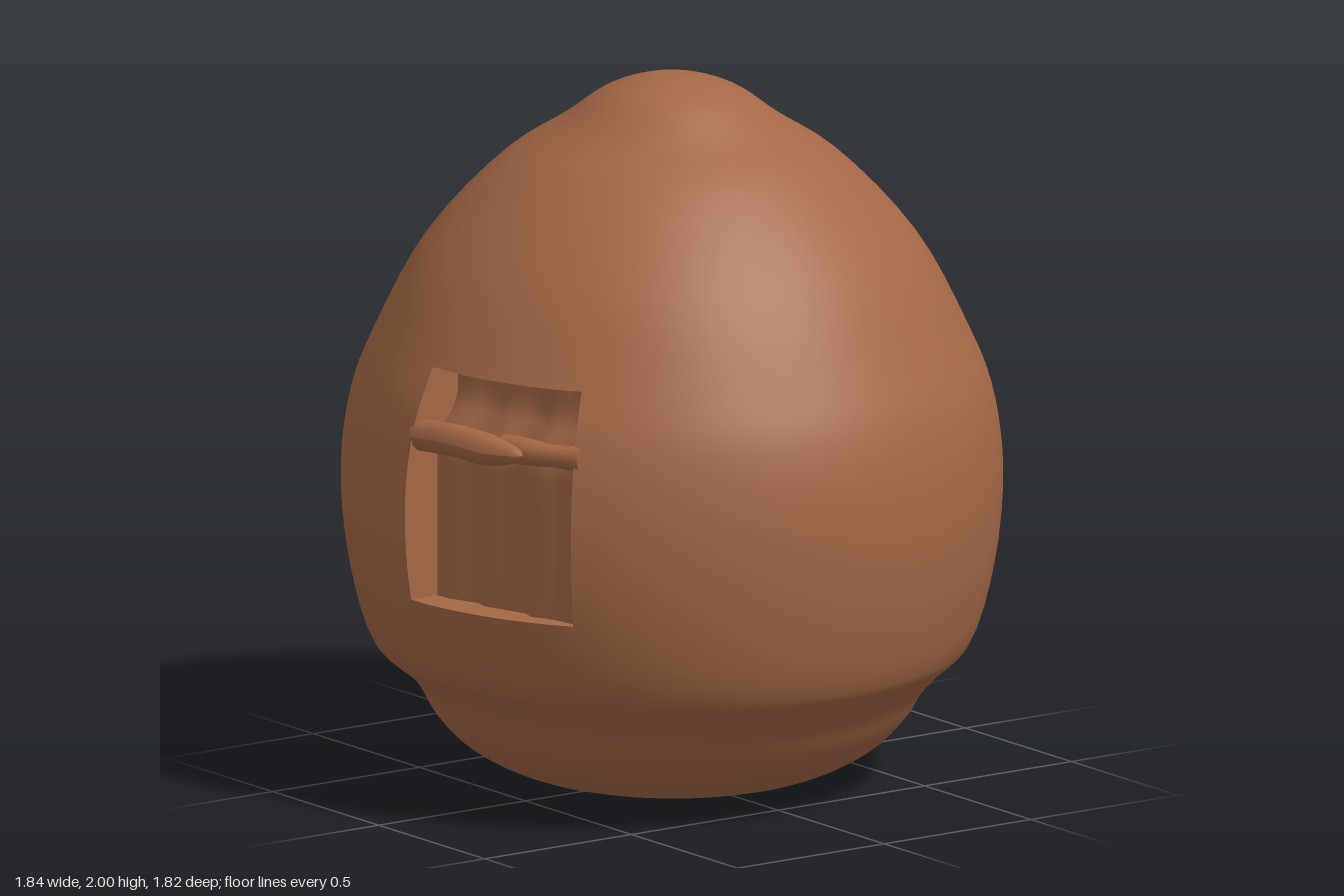
import * as THREE from 'three';

const clay = new THREE.MeshStandardMaterial({ color: 0xa56846 });
clay.name = 'clay';

// Outline as radius, height; each span is split into SUB rows
const SUB = 4, SEG = 120, DOOR_COLS = 12;
const outline = [
  [0, 0.005], [0.22, 0.01], [0.43, 0.045], [0.58, 0.12], [0.66, 0.2], [0.71, 0.28], [0.76, 0.335],
  [0.83, 0.4], [0.9, 0.63], [0.922, 0.9], [0.89, 1.12], [0.825, 1.28], [0.69, 1.53],
  [0.47, 1.765], [0.31, 1.87], [0.19, 1.955], [0.07, 1.995], [0, 2],
];
const curve = new THREE.CatmullRomCurve3(outline.map(([r, y]) => new THREE.Vector3(r, y, 0)));
const ROWS = (outline.length - 1) * SUB;
const profile = curve.getPoints(ROWS);
const DOOR_BOTTOM = 8 * SUB, DOOR_TOP = 11 * SUB;

// Point on the outer wall, with an uneven lip above the foot
function wallPoint(col, row) {
  const a = (col / SEG) * Math.PI * 2;
  const { x: r, y } = profile[row];
  const lip = Math.exp(-(((y - 0.31) / 0.06) ** 2));
  const ripple = Math.sin(a * 7) * 0.5 + Math.sin(a * 13 + 1) * 0.35 + Math.sin(a * 23) * 0.2;
  const sides = -0.012 * Math.cos(2 * a);
  const rr = Math.max(0, r + lip * (0.008 * ripple + sides));
  return new THREE.Vector3(rr * Math.sin(a), y + lip * 0.01 * ripple, rr * Math.cos(a) * 0.988);
}

// Point on the back of the niche: slanted, hollower above the rail, gently fluted
function nichePoint(col, row) {
  const p = wallPoint(col, row);
  const flute = 0.008 * Math.sin(p.x * 38) + 0.005 * Math.sin(p.x * 71);
  const hollow = 0.07 * THREE.MathUtils.smoothstep(p.y, 1.06, 1.2);
  p.z = Math.min(0.8 - 0.19 * p.x - hollow + flute, p.z - 0.02);
  return p;
}

// Surface from a point rule over columns and rows
function grid(cols, rows, point, { wrap = false, skip = () => false } = {}) {
  const pos = [], idx = [], n = wrap ? cols : cols + 1;
  for (let j = 0; j <= rows; j++)
    for (let i = 0; i < n; i++) pos.push(...point(i, j).toArray());
  for (let j = 0; j < rows; j++)
    for (let i = 0; i < cols; i++) {
      if (skip(i, j)) continue;
      const k = (i + 1) % n;
      const a = j * n + i, b = j * n + k, c = (j + 1) * n + k, d = (j + 1) * n + i;
      idx.push(a, b, c, a, c, d);
    }
  const g = new THREE.BufferGeometry();
  g.setAttribute('position', new THREE.Float32BufferAttribute(pos, 3));
  g.setIndex(idx);
  g.computeVertexNormals();
  return g;
}

// Rounded rail along a path whose thickness follows a rule
function rail(points, radius, thickness) {
  const path = new THREE.CatmullRomCurve3(points.map((p) => new THREE.Vector3(...p)));
  const steps = 24, sides = 12;
  const g = new THREE.TubeGeometry(path, steps, radius, sides);
  const pos = g.attributes.position, v = new THREE.Vector3();
  for (let i = 0; i < pos.count; i++) {
    const u = Math.floor(i / (sides + 1)) / steps;
    const c = path.getPointAt(u);
    v.fromBufferAttribute(pos, i).sub(c).multiplyScalar(thickness(u)).add(c);
    pos.setXYZ(i, v.x, v.y, v.z);
  }
  g.computeVertexNormals();
  return g;
}

export function createModel() {
  const model = new THREE.Group();
  model.name = 'domeHut';
  const add = (name, geometry, parent = model) => {
    const mesh = new THREE.Mesh(geometry, clay);
    mesh.name = name;
    parent.add(mesh);
  };

  // Domed wall with an opening
  add('domeWall', grid(SEG, ROWS, wallPoint, {
    wrap: true,
    skip: (i, j) => i < DOOR_COLS && j >= DOOR_BOTTOM && j < DOOR_TOP,
  }));

  // Niche behind the opening
  const niche = new THREE.Group();
  niche.name = 'niche';
  model.add(niche);
  const H = DOOR_TOP - DOOR_BOTTOM, D = 4;
  const between = (col, row, t) => wallPoint(col, row).lerp(nichePoint(col, row), t);
  add('nicheBack', grid(DOOR_COLS, H, (i, j) => nichePoint(i, DOOR_BOTTOM + j)), niche);
  add('nicheRightSide', grid(D, H, (i, j) => between(0, DOOR_BOTTOM + j, i / D)), niche);
  add('nicheLeftSide', grid(D, H, (i, j) => between(DOOR_COLS, DOOR_BOTTOM + j, 1 - i / D)), niche);
  add('nicheSill', grid(DOOR_COLS, D, (i, j) => between(i, DOOR_BOTTOM, j / D)), niche);
  add('nicheCeiling', grid(DOOR_COLS, D, (i, j) => between(i, DOOR_TOP, 1 - j / D)), niche);

  // Rail across the niche, with a slimmer end piece behind its tip
  add('doorRail', rail(
    [[-0.01, 1.09, 0.845], [0.15, 1.1, 0.835], [0.28, 1.095, 0.815], [0.4, 1.1, 0.8]], 0.046,
    (u) => 0.06 + 0.94 * Math.sqrt(Math.min(1, (1 - u) / 0.35))), niche);
  add('railEnd', rail(
    [[0.28, 1.1, 0.775], [0.4, 1.1, 0.745], [0.53, 1.1, 0.685]], 0.036,
    (u) => 1 + 0.1 * Math.sin(u * 7)), niche);

  return model;
}
